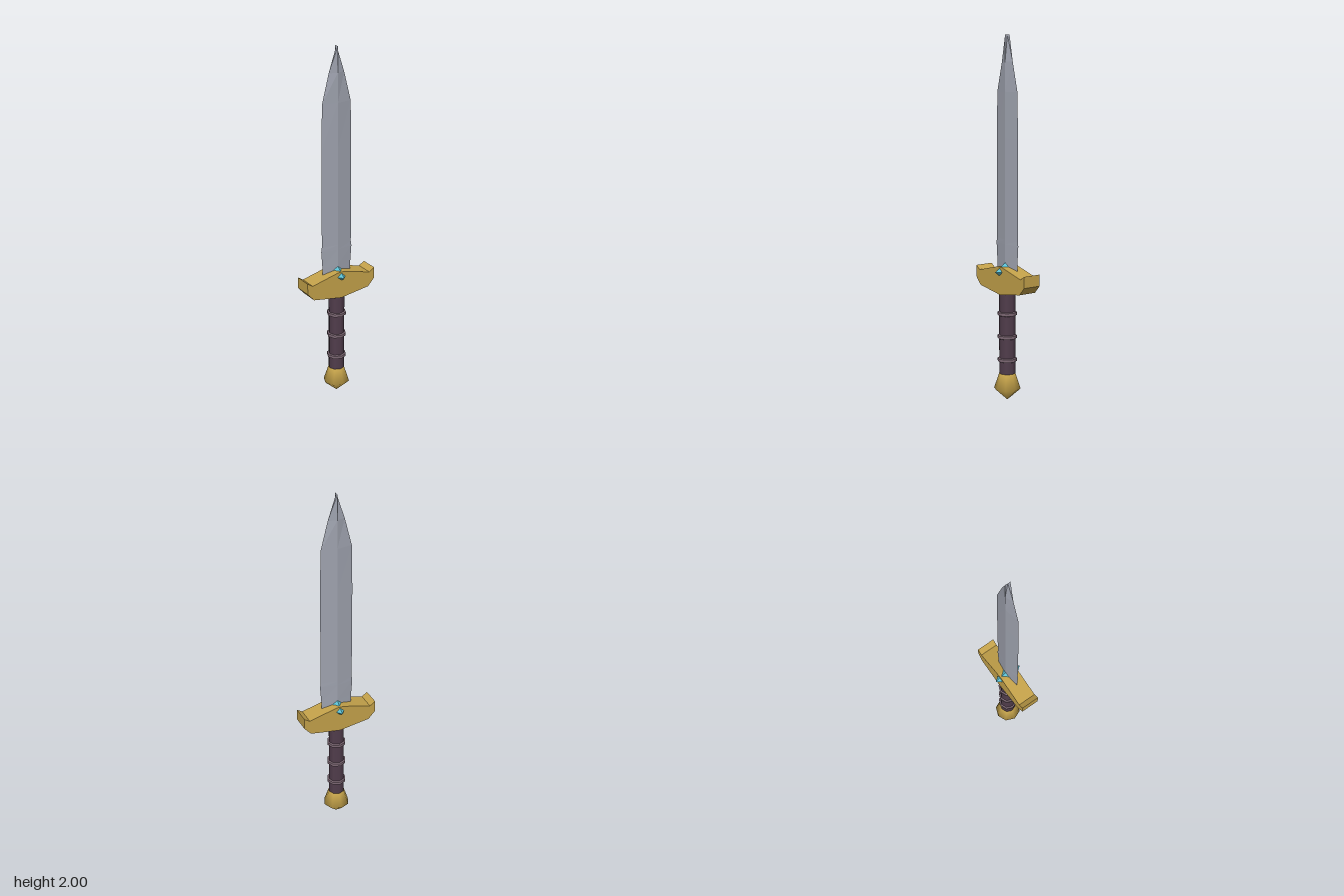
import * as THREE from 'three';
import { toCreasedNormals } from 'three/addons/utils/BufferGeometryUtils.js';

const paint = (name, color) => {
  const m = new THREE.MeshStandardMaterial({ color });
  m.name = name;
  return m;
};

const flat = (geometry) => {
  const g = geometry.index ? geometry.toNonIndexed() : geometry;
  g.computeVertexNormals();
  return g;
};

const lathe = (points, sides) =>
  new THREE.LatheGeometry(points.map(([r, y]) => new THREE.Vector2(r, y)), sides);

// Diamond-section blade: each row is [height, half width]; the ridge keeps its thickness up to the tip
function bladeGeometry() {
  const rows = [[0.66, 0.087], [0.78, 0.09], [0.875, 0.097], [0.9, 0.093], [1.45, 0.093],
    [1.7, 0.088], [1.86, 0.047], [2.0, 0.0005]];
  const halfThickness = 0.015;
  const g = new THREE.CylinderGeometry(1, 1, 1, 4, rows.length - 1, true);
  const p = g.attributes.position;
  for (let i = 0; i < p.count; i++) {
    const [y, w] = rows[Math.round((p.getY(i) + 0.5) * (rows.length - 1))];
    p.setXYZ(i, p.getX(i) * w, y, p.getZ(i) * halfThickness);
  }
  return flat(g);
}

// Crossguard: mirrored outline extruded front to back
function guardGeometry() {
  const right = [[0.175, 0.627], [0.215, 0.67], [0.215, 0.733], [0.183, 0.712]];
  const left = right.map(([x, y]) => [-x, y]).reverse();
  const outline = [[0, 0.6], ...right, [0.02, 0.754], [-0.02, 0.754], ...left];
  const shape = new THREE.Shape(outline.map(([x, y]) => new THREE.Vector2(x, y)));
  const depth = 0.106;
  return new THREE.ExtrudeGeometry(shape, { depth, bevelEnabled: false }).translate(0, 0, -depth / 2);
}

export function createModel() {
  const steel = paint('steel', 0xa0a4b0);
  const gold = paint('gold', 0xc4a24a);
  const leather = paint('leather', 0x513d4c);
  const binding = paint('binding', 0x7d6874);
  const crystal = paint('crystal', 0x5cbfd2);

  const model = new THREE.Group();
  model.name = 'sword';
  const add = (name, geometry, material) => {
    const mesh = new THREE.Mesh(geometry, material);
    mesh.name = name;
    model.add(mesh);
    return mesh;
  };

  add('blade', bladeGeometry(), steel);
  add('guard', guardGeometry(), gold);

  // Gem set through the guard, showing at the front, back and top
  const gem = new THREE.OctahedronGeometry(1).scale(0.064, 0.059, 0.083).translate(0, 0.726, 0);
  add('gem', flat(gem), crystal);

  // Grip with three raised bindings
  add('grip', new THREE.CylinderGeometry(0.045, 0.045, 0.48, 8).translate(0, 0.39, 0), leather);
  for (const y of [0.23, 0.36, 0.49]) {
    const ring = lathe([[0.043, -0.012], [0.054, -0.008], [0.054, 0.008], [0.043, 0.012]], 8);
    add('gripBinding', toCreasedNormals(ring, 0.9).translate(0, y, 0), binding);
  }

  // Pointed pommel
  add('pommel', lathe([[0, 0], [0.074, 0.065], [0.044, 0.155], [0, 0.155]], 8), gold);

  return model;
}
